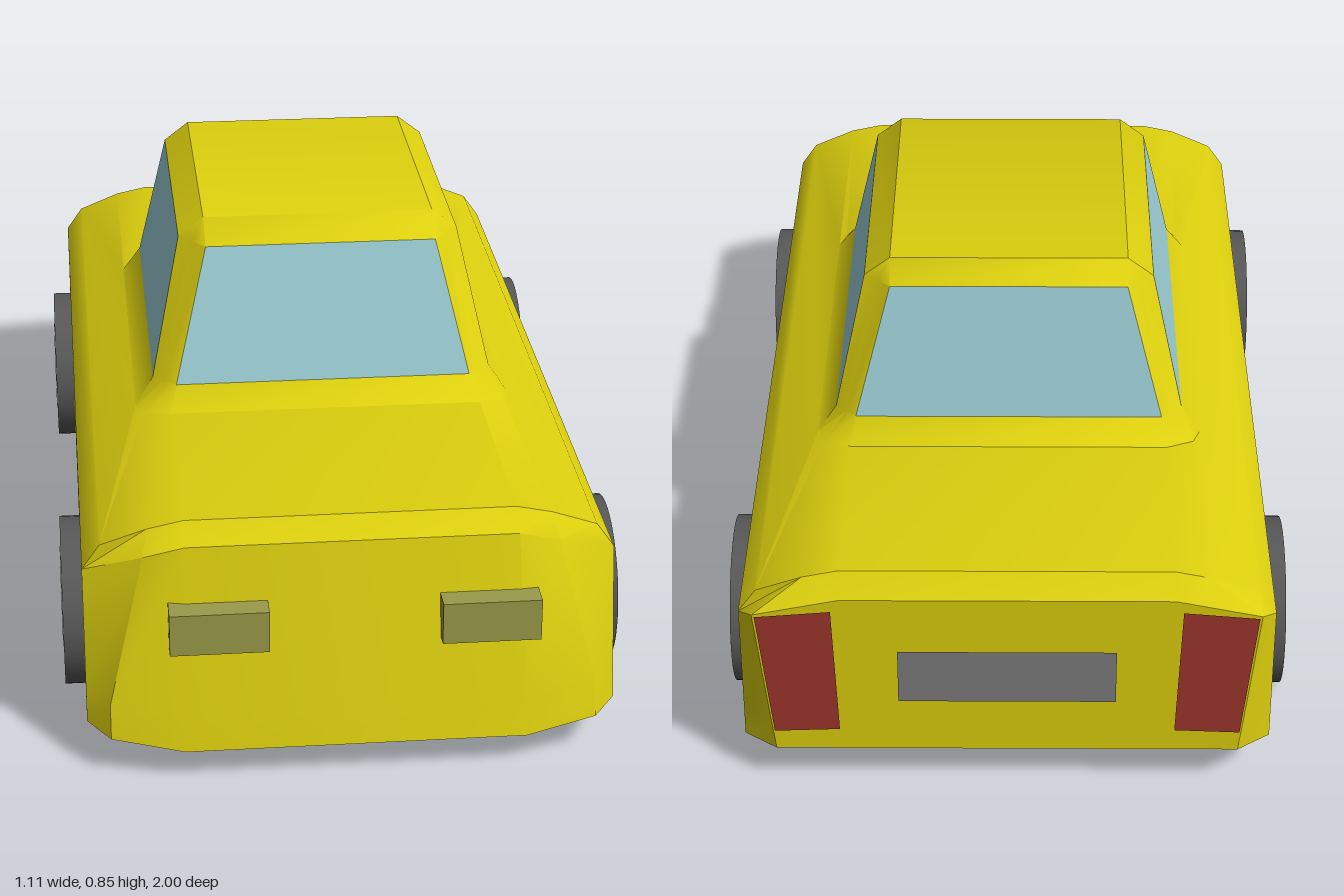
import * as THREE from 'three';
import { toCreasedNormals } from 'three/addons/utils/BufferGeometryUtils.js';

const mat = (color) => new THREE.MeshStandardMaterial({ color, side: THREE.DoubleSide });
const YELLOW = mat(0xdccf0e), GLASS = mat(0x9fd3da), TYRE = mat(0x585858), HUB = mat(0xb4b4b4);
const LAMP = mat(0x9a9b4a), RED = mat(0x9c352c), PLATE = mat(0x7d7d7d);

// Half rings, front centre to rear centre on the +x side: [x, y, z]
const HALF_RINGS = [
  [[0.33, 0.065, 1.0], [0.47, 0.08, 0.965], [0.515, 0.09, 0.91], [0.515, 0.09, -0.955], [0.45, 0.09, -1], [0.32, 0.09, -1]], // sill
  [[0.33, 0.13, 0.988], [0.47, 0.145, 0.95], [0.515, 0.15, 0.895], [0.515, 0.15, -0.955], [0.457, 0.15, -1], [0.32, 0.15, -1]], // bumper line
  [[0.32, 0.455, 0.905], [0.40, 0.435, 0.9], [0.515, 0.39, 0.85], [0.515, 0.39, -0.955], [0.485, 0.415, -1], [0.32, 0.45, -1]], // shoulder
  [[0.32, 0.49, 0.86], [0.39, 0.475, 0.86], [0.48, 0.44, 0.85], [0.48, 0.44, -0.955], [0.39, 0.475, -0.96], [0.32, 0.49, -0.96]], // deck edge
  [[0.32, 0.49, 0.38], [0.375, 0.478, 0.34], [0.39, 0.475, 0.3], [0.39, 0.475, -0.46], [0.375, 0.478, -0.5], [0.32, 0.49, -0.54]], // cabin foot
  [[0.305, 0.53, 0.325], [0.33, 0.53, 0.303], [0.352, 0.53, 0.28], [0.352, 0.53, -0.45], [0.33, 0.53, -0.47], [0.31, 0.53, -0.49]], // window sill
  [[0.237, 0.81, 0.265], [0.263, 0.81, 0.233], [0.29, 0.81, 0.2], [0.29, 0.81, -0.4], [0.263, 0.81, -0.42], [0.237, 0.81, -0.445]], // window head
  [[0.238, 0.85, 0.2], [0.238, 0.85, 0.2], [0.238, 0.85, 0.2], [0.238, 0.85, -0.4], [0.238, 0.85, -0.4], [0.238, 0.85, -0.4]], // roof
];

const mirrorRing = (half) => [...half, ...half.map(([x, y, z]) => [-x, y, z]).reverse()];

function facesToGeometry(faces, crease = 0.6) {
  const pos = [];
  const same = (p, q) => p.every((v, i) => v === q[i]);
  for (const [a, b, c, d] of faces) {
    for (const t of [[a, b, c], [a, c, d]]) {
      if (same(t[0], t[1]) || same(t[1], t[2]) || same(t[0], t[2])) continue;
      pos.push(...t.flat());
    }
  }
  const g = new THREE.BufferGeometry();
  g.setAttribute('position', new THREE.Float32BufferAttribute(pos, 3));
  g.computeVertexNormals();
  return toCreasedNormals(g, crease);
}

function add(parent, name, geometry, material) {
  const m = new THREE.Mesh(geometry, material);
  m.name = name;
  parent.add(m);
  return m;
}

export function createModel() {
  const car = new THREE.Group();
  car.name = 'car';

  // Open-bottomed body shell; every third panel of the cabin band is glass
  const rings = HALF_RINGS.map(mirrorRing);
  const shell = [], panes = [];
  const WINDOW_BAND = 5;
  for (let r = 0; r < rings.length - 1; r++) {
    const lo = rings[r], hi = rings[r + 1], n = lo.length;
    for (let i = 0; i < n; i++) {
      const j = (i + 1) % n;
      const face = [lo[i], lo[j], hi[j], hi[i]];
      (r === WINDOW_BAND && i % 3 === 2 ? panes : shell).push(face);
    }
  }
  const roof = rings[rings.length - 1];
  shell.push([roof[0], roof[5], roof[6], roof[11]]);
  add(car, 'bodyShell', facesToGeometry(shell), YELLOW);
  ['leftWindow', 'rearWindow', 'rightWindow', 'windscreen'].forEach((name, i) =>
    add(car, name, facesToGeometry([panes[i]]), GLASS));

  // Wheels with flush hub discs
  for (const [end, z] of [['front', 0.565], ['rear', -0.62]]) {
    for (const [side, s] of [['Left', 1], ['Right', -1]]) {
      const wheel = new THREE.Group();
      wheel.name = `${end}${side}Wheel`;
      wheel.position.set(s * 0.48, 0.17, z);
      add(wheel, 'tyre', new THREE.CylinderGeometry(0.17, 0.17, 0.15, 40).rotateZ(Math.PI / 2), TYRE);
      const hub = add(wheel, 'hub', new THREE.CircleGeometry(0.11, 40).rotateY(s * Math.PI / 2), HUB);
      hub.position.x = s * 0.077;
      car.add(wheel);
    }
  }

  // Headlights and tail lights
  for (const [side, s] of [['left', 1], ['right', -1]]) {
    add(car, `${side}Headlight`, new THREE.BoxGeometry(0.19, 0.085, 0.06), LAMP)
      .position.set(s * 0.26, 0.307, 0.95);
    const z = -1.003;
    const lamp = [[0.325, 0.14, z], [0.335, 0.425, z], [0.48, 0.412, z], [0.452, 0.135, z]]
      .map(([x, y, w]) => [s * x, y, w]);
    add(car, `${side}TailLight`, facesToGeometry([s > 0 ? lamp : lamp.reverse()]), RED);
  }

  // Blank rear plate
  const plate = add(car, 'rearPlate', new THREE.PlaneGeometry(0.42, 0.12).rotateY(Math.PI), PLATE);
  plate.position.set(0, 0.27, -1.003);

  return car;
}
